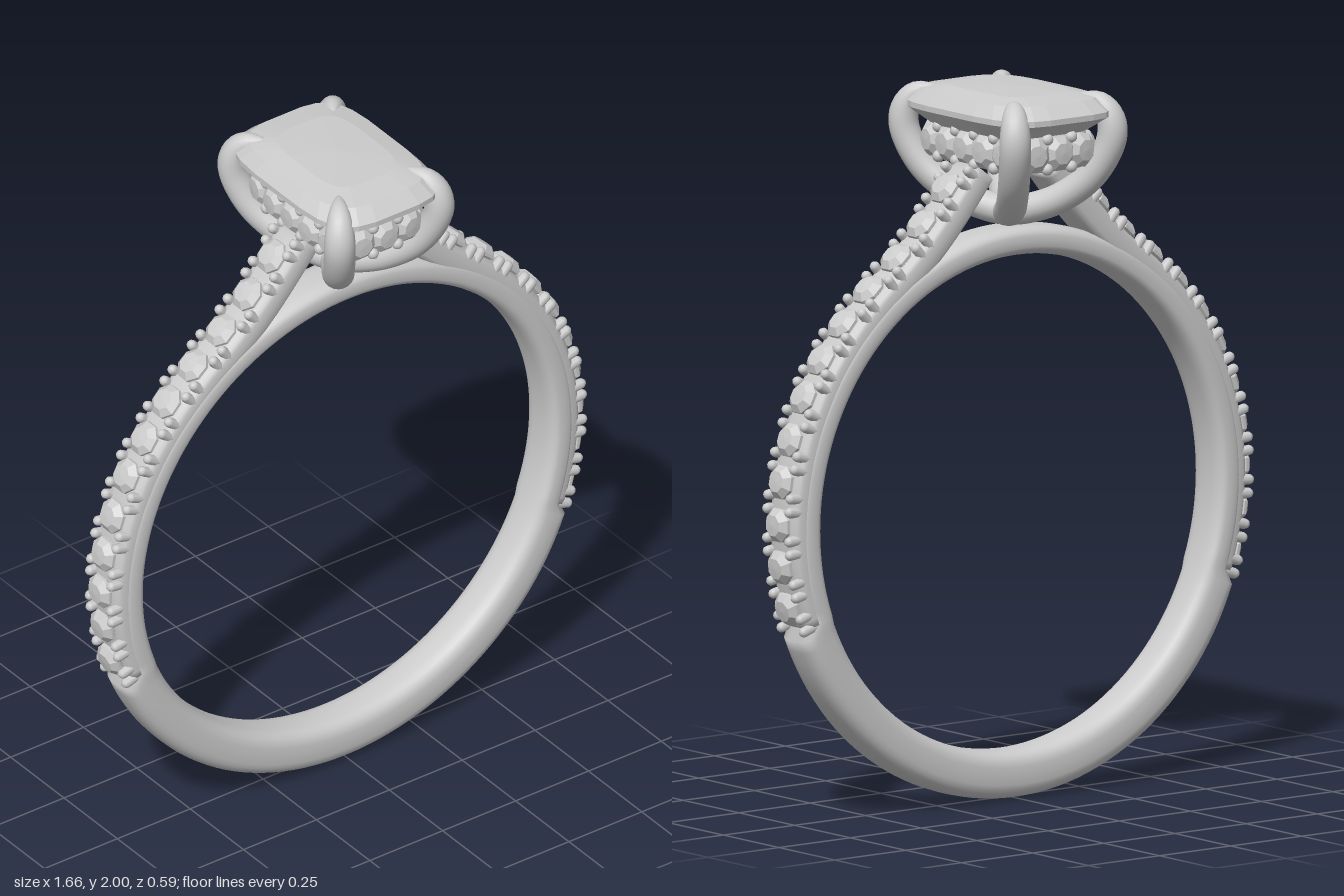
import * as THREE from 'three';

const silver = new THREE.MeshStandardMaterial({ color: 0xcccccc });
silver.name = 'silver';

const V = (x, y, z = 0) => new THREE.Vector3(x, y, z);
const TAU = Math.PI * 2;

// Point on a squared-off circle; n = 2 is round, higher is boxier
function squircle(a, n) {
  const f = (v) => Math.sign(v) * Math.abs(v) ** (2 / n);
  return [f(Math.cos(a)), f(Math.sin(a))];
}

// Skin over rings of points, each ring closed; loop joins last ring to first
function loft(rings, { loop = false, facets = false } = {}) {
  const m = rings[0].length, pos = [], idx = [];
  rings.forEach((r) => r.forEach((p) => pos.push(p.x, p.y, p.z)));
  const n = loop ? rings.length : rings.length - 1;
  for (let i = 0; i < n; i++) {
    for (let j = 0; j < m; j++) {
      const i2 = (i + 1) % rings.length, j2 = (j + 1) % m;
      const a = i * m + j, b = i2 * m + j, c = i2 * m + j2, d = i * m + j2;
      idx.push(a, b, d, b, c, d);
    }
  }
  let g = new THREE.BufferGeometry();
  g.setAttribute('position', new THREE.Float32BufferAttribute(pos, 3));
  g.setIndex(idx);
  if (facets) g = g.toNonIndexed();
  g.computeVertexNormals();
  return g;
}

// Capped bar along a curve; side is the constant sideways direction
function bar(curve, side, halfN, halfSide, taper, steps, n) {
  const rings = [];
  const ring = (u, k) => {
    const c = curve.getPointAt(u), N = curve.getTangentAt(u).cross(side).normalize();
    return Array.from({ length: 20 }, (_, j) => {
      const [p, q] = squircle(j / 20 * TAU, n);
      return c.clone().addScaledVector(N, p * halfN * k).addScaledVector(side, q * halfSide * k);
    });
  };
  rings.push(ring(0, 0));
  for (let i = 0; i <= steps; i++) rings.push(ring(i / steps, taper(i / steps)));
  rings.push(ring(1, 0));
  return loft(rings);
}

// Faceted stone from [height, scale] levels, bottom to top
function gem(levels, hx, hz, sides, n) {
  return loft(levels.map(([y, s]) => Array.from({ length: sides }, (_, j) => {
    const [p, q] = squircle((j + 0.5) / sides * TAU, n);
    return V(p * hx * s, y, q * hz * s);
  })), { facets: true });
}

function add(parent, name, geometry, position, normal) {
  const m = new THREE.Mesh(geometry, silver);
  m.name = name;
  if (position) m.position.copy(position);
  if (normal) m.quaternion.setFromUnitVectors(V(0, 1, 0), normal);
  parent.add(m);
  return m;
}

const smallStone = gem([[-0.04, 0], [-0.006, 1], [0.003, 1], [0.02, 0.62], [0.022, 0]], 0.05, 0.05, 8, 2);
const claw = new THREE.CapsuleGeometry(0.015, 0.035, 3, 8);
const bead = new THREE.SphereGeometry(0.017, 10, 8);

// Plain band, thicker below the row of stones
function buildBand() {
  const rings = [], inner = 0.695;
  for (let i = 0; i < 144; i++) {
    const a = i / 144 * TAU, s = Math.sin(a);
    const outer = s < -0.35 ? 0.83 - 0.02 * (s + 1) : 0.778;
    const mid = (inner + outer) / 2, half = (outer - inner) / 2;
    rings.push(Array.from({ length: 28 }, (_, j) => {
      const [p, q] = squircle(j / 28 * TAU, 3);
      const r = mid + p * half;
      return V(Math.cos(a) * r, 0.83 + s * r, q * 0.07);
    }));
  }
  return loft(rings, { loop: true });
}

// One shoulder: rising bar set with stones and claws
function buildShoulder() {
  const g = new THREE.Group();
  const seats = [[0.775, 0.61], [0.8, 0.73], [0.808, 0.85], [0.797, 0.97], [0.767, 1.085], [0.72, 1.2],
    [0.658, 1.3], [0.582, 1.393], [0.492, 1.478], [0.395, 1.557], [0.305, 1.642], [0.222, 1.735]];
  const path = new THREE.CatmullRomCurve3([[0.758, 0.555], ...seats, [0.165, 1.805]].map(([x, y]) => V(x, y)));
  const side = V(0, 0, 1);
  const frame = (u) => {
    const T = path.getTangent(u);
    return { P: path.getPoint(u), T, N: T.clone().cross(side).normalize() };
  };
  const centre = [];
  for (let i = 0; i <= 26; i++) {
    const { P, N } = frame(i / 26);
    centre.push(P.addScaledVector(N, -0.053));
  }
  add(g, 'shoulderBar', bar(new THREE.CatmullRomCurve3(centre), side, 0.043, 0.066, () => 1, 70, 3.5));
  const spans = seats.length + 1;
  seats.forEach((_, k) => {
    const { P, N } = frame((k + 1) / spans);
    add(g, 'bandStone', smallStone, P, N);
  });
  // Two pairs of claws in every gap, leaving a slit between them
  for (let k = 0; k <= seats.length; k++) {
    const u = k === 0 ? 0.25 / spans : (k + 0.5) / spans;
    const { P, T, N } = frame(u);
    for (const t of [-0.019, 0.019]) for (const z of [-0.05, 0.05]) {
      const p = P.clone().addScaledVector(T, t).addScaledVector(N, -0.018);
      add(g, 'bandClaw', claw, p.setZ(z), N);
    }
  }
  return g;
}

// Rail of small stones hidden under the main stone
function buildHalo() {
  const g = new THREE.Group(), hx = 0.15, hz = 0.23, y0 = 1.84;
  const rings = [];
  for (let i = 0; i < 64; i++) {
    const [cx, cz] = squircle(i / 64 * TAU, 4);
    rings.push(Array.from({ length: 16 }, (_, j) => {
      const [p, q] = squircle(j / 16 * TAU, 4);
      const inset = -0.02 + p * 0.02;
      return V(cx * (hx + inset), y0 - q * 0.053, cz * (hz + inset));
    }));
  }
  add(g, 'haloRail', loft(rings, { loop: true }));
  const edge = (t, h) => h * (1 - t ** 4) ** 0.25;
  for (const s of [-1, 1]) {
    for (let k = -1; k <= 1; k++) {
      const x = k * 0.083;
      add(g, 'haloStone', smallStone, V(x, y0, s * edge(x / hx, hz)), V(0.5 * k * 0.3, 0, s).normalize());
    }
    for (let k = -2; k <= 2; k++) {
      const z = k * 0.083;
      add(g, 'haloStone', smallStone, V(s * edge(z / hz, hx), y0, z), V(s, 0, k * 0.08).normalize());
    }
    for (const y of [y0 - 0.042, y0 + 0.042]) {
      for (const x of [-0.042, 0.042]) add(g, 'haloBead', bead, V(x, y, s * hz));
      for (const z of [-0.125, -0.042, 0.042, 0.125]) add(g, 'haloBead', bead, V(s * edge(z / hz, hx), y, z));
    }
  }
  return g;
}

// Curved prongs meeting under the stone and curling over its corners
function buildProngs() {
  const g = new THREE.Group();
  const profile = [[-0.06, 1.645], [0.18, 1.655], [0.5, 1.69], [0.82, 1.765], [1, 1.87], [0.98, 1.93],
    [0.88, 1.967], [0.68, 1.982]];
  const taper = (u) => (u < 0.72 ? 1 : Math.max(0.12, 1 - 0.8 * ((u - 0.72) / 0.28) ** 2));
  for (const sx of [-1, 1]) for (const sz of [-1, 1]) {
    const curve = new THREE.CatmullRomCurve3(profile.map(([s, y]) => V(0.17 * s * sx, y, 0.25 * s * sz)));
    const side = V(-0.25 * sz, 0, 0.17 * sx).normalize();
    add(g, 'prong', bar(curve, side, 0.042, 0.044, taper, 40, 2));
  }
  return g;
}

export function createModel() {
  const model = new THREE.Group();
  model.name = 'ring';
  add(model, 'band', buildBand());

  for (const [name, turn] of [['leftShoulder', 0], ['rightShoulder', Math.PI]]) {
    const s = buildShoulder();
    s.name = name;
    s.rotation.y = turn;
    model.add(s);
  }

  const halo = buildHalo();
  halo.name = 'halo';
  const prongs = buildProngs();
  prongs.name = 'prongs';
  model.add(halo, prongs);

  // Cushion-cut main stone
  add(model, 'mainStone', gem([[1.755, 0], [1.83, 0.45], [1.91, 0.88], [1.932, 1], [1.948, 1],
    [1.983, 0.86], [1.996, 0.58], [2, 0]], 0.205, 0.292, 24, 4));
  return model;
}
